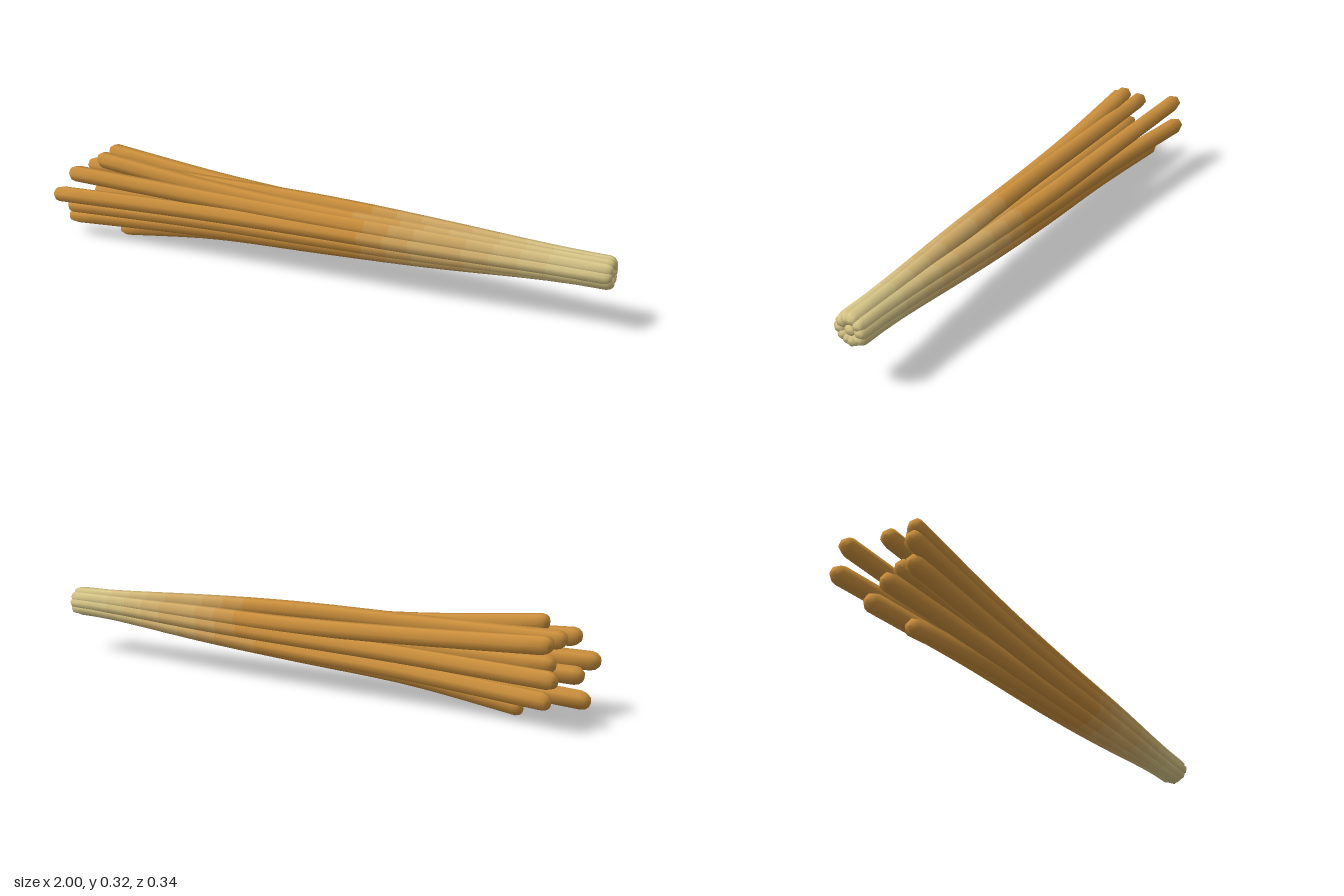
import * as THREE from 'three';

const SIDES = 6, R = 0.03, STEPS = 22;
const AXIS_Y = 0.193;

// Each strand: root angle and radius, middle (y, z), free tip (x, y, z)
const strands = [
  { root: [70, 0.032], mid: [0.235, 0.035], tip: [-0.87, 0.296, 0.043] },
  { root: [35, 0.034], mid: [0.22, 0.058], tip: [-0.95, 0.25, 0.108] },
  { root: [0, 0.036], mid: [0.185, 0.068], tip: [-1, 0.173, 0.141] },
  { root: [-35, 0.032], mid: [0.15, 0.06], tip: [-0.96, 0.128, 0.115] },
  { root: [-70, 0.03], mid: [0.118, 0.033], tip: [-1, 0.066, 0.064] },
  { root: [-95, 0.032], mid: [0.103, 0], tip: [-0.81, 0.03, 0.01] },
  { root: [-135, 0.034], mid: [0.122, -0.045], tip: [-0.92, 0.076, -0.054] },
  { root: [-175, 0.03], mid: [0.176, -0.075], tip: [-0.97, 0.165, -0.141] },
  { root: [145, 0.03], mid: [0.217, -0.075], tip: [-0.95, 0.266, -0.134] },
  { root: [100, 0.032], mid: [0.255, -0.002], tip: [-0.94, 0.255, 0.008] },
  { root: [0, 0], mid: [0.18, 0], tip: [-0.9, 0.17, 0.03] },
];

// Colour bands from the pale bound end to the golden free end
const BANDS = 8;
const pale = new THREE.Color(0xd6c587), gold = new THREE.Color(0xcb8f3c);
const materials = Array.from({ length: BANDS }, (_, i) =>
  new THREE.MeshStandardMaterial({ color: pale.clone().lerp(gold, i / (BANDS - 1)) }));
const bandAt = x => THREE.MathUtils.clamp(Math.floor((1 - x) / 0.9 * BANDS), 0, BANDS - 1);

// Six-sided tube along the strand's curve, with rounded ends
function strandGeometry({ root, mid, tip }, twist) {
  const a = THREE.MathUtils.degToRad(root[0]);
  const ry = AXIS_Y + root[1] * Math.sin(a), rz = root[1] * Math.cos(a);
  const mix = THREE.MathUtils.lerp;
  const curve = new THREE.CatmullRomCurve3([
    new THREE.Vector3(1, ry, rz),
    new THREE.Vector3(0.85, mix(ry, mid[0], 0.06), mix(rz, mid[1], 0.06)),
    new THREE.Vector3(0.45, mix(ry, mid[0], 0.55), mix(rz, mid[1], 0.55)),
    new THREE.Vector3(0, mid[0], mid[1]),
    new THREE.Vector3(-0.42, mix(mid[0], tip[1], 0.32), mix(mid[1], tip[2], 0.32)),
    new THREE.Vector3(...tip),
  ]);

  // Stations: distance along the strand and radius scale
  const stations = [[0, 0.001], [0.001, 0.55], [0.005, 0.85], [0.011, 1]];
  for (let i = 1; i < STEPS; i++) stations.push([0.011 + 0.974 * i / STEPS, 1]);
  stations.push([0.985, 1], [0.993, 0.85], [0.998, 0.55], [1, 0.001]);

  const positions = [], indices = [];
  const geometry = new THREE.BufferGeometry();
  stations.forEach(([t, scale], s) => {
    const p = curve.getPointAt(t);
    const r = scale * mix(R, 0.023, THREE.MathUtils.smoothstep(p.x, 0.2, 0.9));
    for (let k = 0; k < SIDES; k++) {
      const b = twist + k / SIDES * Math.PI * 2;
      positions.push(p.x, p.y + r * Math.sin(b), p.z + r * Math.cos(b));
    }
    if (s === stations.length - 1) return;
    geometry.addGroup(indices.length, SIDES * 6, bandAt(p.x));
    for (let k = 0; k < SIDES; k++) {
      const i = s * SIDES + k, j = s * SIDES + (k + 1) % SIDES;
      indices.push(i, j, i + SIDES, j, j + SIDES, i + SIDES);
    }
  });
  geometry.setAttribute('position', new THREE.Float32BufferAttribute(positions, 3));
  geometry.setIndex(indices);
  geometry.computeVertexNormals();
  return geometry;
}

export function createModel() {
  const bundle = new THREE.Group();
  bundle.name = 'strandBundle';
  strands.forEach((strand, i) => {
    const mesh = new THREE.Mesh(strandGeometry(strand, i * 0.13), materials);
    mesh.name = `strand${i + 1}`;
    bundle.add(mesh);
  });
  return bundle;
}
